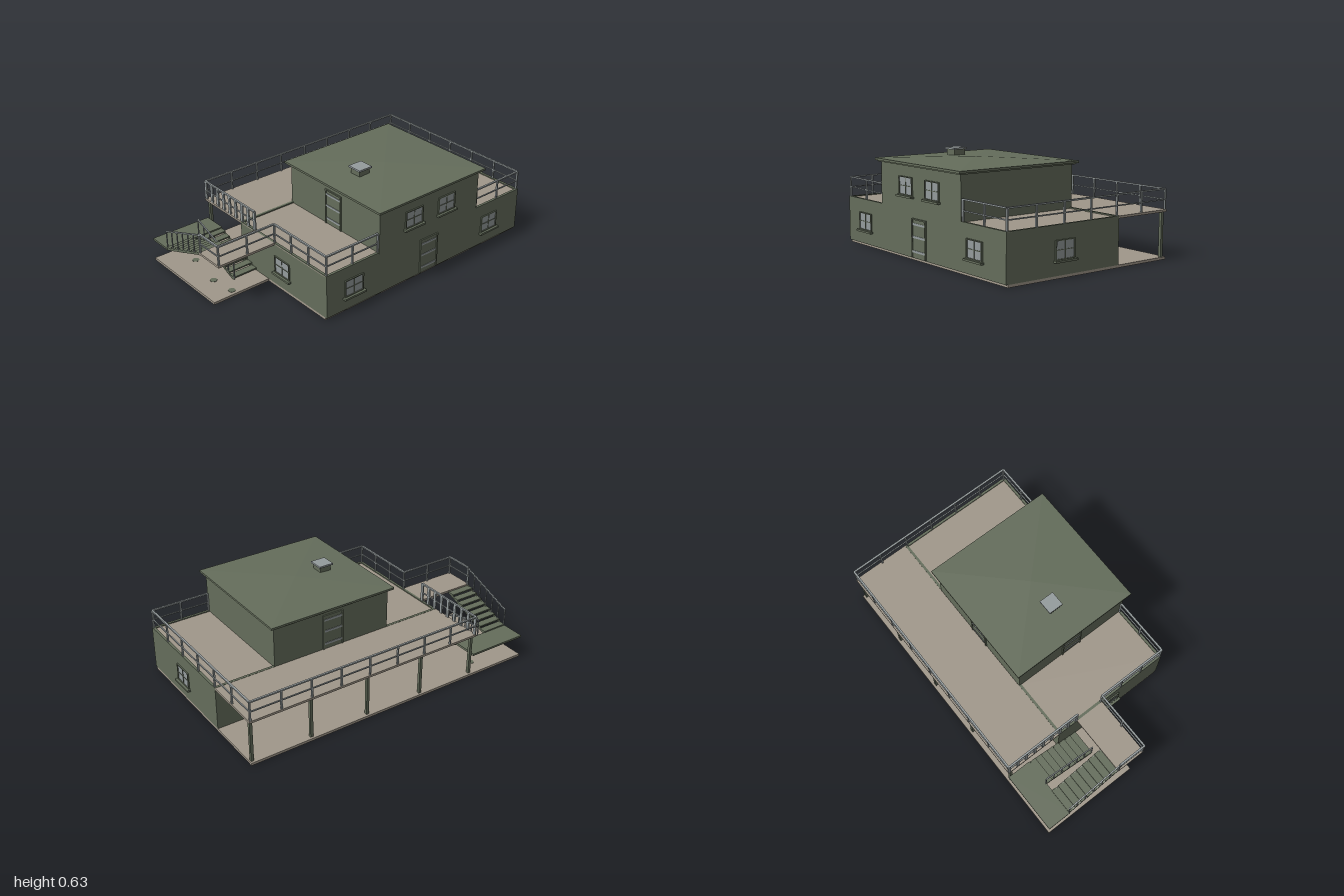
import * as THREE from 'three';

const mat = (name, color) => {
  const m = new THREE.MeshStandardMaterial({ color });
  m.name = name;
  return m;
};

export function createModel() {
  const green = mat('olive green', 0x646d5b);
  const tan = mat('warm concrete', 0xa0978a);
  const grey = mat('pale grey', 0x949b9c);
  const model = new THREE.Group();
  model.name = 'house';

  const group = (name, parent = model) => {
    const g = new THREE.Group();
    g.name = name;
    parent.add(g);
    return g;
  };
  // Box given by its extents on each axis
  const box = (name, m, [x0, x1], [y0, y1], [z0, z1], parent = model) => {
    const mesh = new THREE.Mesh(new THREE.BoxGeometry(x1 - x0, y1 - y0, z1 - z0), m);
    mesh.position.set((x0 + x1) / 2, (y0 + y1) / 2, (z0 + z1) / 2);
    mesh.name = name;
    parent.add(mesh);
    return mesh;
  };
  // Square bar between two points
  const bar = (name, m, a, b, w, h, parent) => {
    const p = new THREE.Vector3(...a), q = new THREE.Vector3(...b);
    const mesh = new THREE.Mesh(new THREE.BoxGeometry(w, h, p.distanceTo(q)), m);
    mesh.position.copy(p).add(q).multiplyScalar(0.5);
    mesh.lookAt(q);
    mesh.name = name;
    parent.add(mesh);
  };

  // Ground slab, with the strip under the stairs
  box('groundSlab', tan, [-0.61, 0.975], [0, 0.016], [-0.605, 0.57]);
  box('stairSlab', tan, [-1, -0.61], [0, 0.016], [-0.605, 0.04]);
  [[-0.68, -0.5], [-0.825, -0.42], [-0.87, -0.16], [-0.85, 0.0]].forEach(([x, z]) => {
    const disc = new THREE.Mesh(new THREE.CylinderGeometry(0.022, 0.022, 0.002, 12), green);
    disc.position.set(x, 0.017, z);
    disc.name = 'slabPatch';
    model.add(disc);
  });

  // Two storeys
  box('groundFloor', green, [-0.61, 0.975], [0.016, 0.285], [-0.224, 0.582]);
  box('upperFloor', green, [-0.22, 0.585], [0.285, 0.56], [-0.222, 0.583]);

  // Terrace floors, wall tops and rear deck
  const terrace = group('terrace');
  for (const [x0, x1] of [[-0.61, -0.22], [0.585, 0.975]]) {
    box('terraceFloor', tan, [x0, x1], [0.284, 0.289], [-0.21, 0.57], terrace);
    box('frontWallTop', green, [x0, x1], [0.284, 0.295], [0.566, 0.582], terrace);
    box('rearWallTop', green, [x0, x1], [0.284, 0.2965], [-0.224, -0.208], terrace);
  }
  box('leftWallTop', green, [0.959, 0.975], [0.284, 0.295], [-0.22, 0.58], terrace);
  box('rightWallTop', green, [-0.61, -0.594], [0.284, 0.295], [-0.22, 0.58], terrace);
  box('rearDeck', tan, [-0.61, 0.975], [0.281, 0.295], [-0.607, -0.224], terrace);
  for (let i = 0; i < 5; i++) {
    const x = -0.59 + i * 0.3875;
    box('deckPost', green, [x - 0.009, x + 0.009], [0.016, 0.282], [-0.591, -0.573], terrace);
  }

  // Roof: eave trim, flat edge and low pyramid
  const roof = group('roof');
  box('eaveTrim', green, [-0.237, 0.602], [0.55, 0.56], [-0.239, 0.6], roof);
  box('roofEdge', green, [-0.248, 0.613], [0.558, 0.571], [-0.25, 0.611], roof);
  const pyramid = new THREE.ConeGeometry(0.43 * Math.SQRT2, 0.018, 4, 1).rotateY(Math.PI / 4).toNonIndexed();
  pyramid.computeVertexNormals();
  const roofTop = new THREE.Mesh(pyramid, green);
  roofTop.position.set(0.1825, 0.58, 0.1805);
  roofTop.name = 'roofTop';
  roof.add(roofTop);
  box('chimney', green, [-0.052, 0.025], [0.57, 0.617], [0.142, 0.219], roof);
  box('chimneyCap', grey, [-0.062, 0.035], [0.616, 0.627], [0.132, 0.229], roof);

  // Wall fittings are built facing +z, then turned to their wall
  const place = (name, x, y, z, turn) => {
    const g = group(name);
    g.position.set(x, y, z);
    g.rotation.y = turn;
    return g;
  };
  const addWindow = (x, y, z, turn = 0) => {
    const g = place('window', x, y, z, turn);
    box('glass', grey, [-0.064, 0.064], [-0.05, 0.05], [-0.002, 0.003], g);
    for (const s of [-1, 1]) {
      box('sideFrame', green, [s * 0.066 - 0.004, s * 0.066 + 0.004], [-0.054, 0.054], [-0.002, 0.008], g);
      box('crossFrame', green, [-0.066, 0.066], [s * 0.052 - 0.003, s * 0.052 + 0.003], [-0.002, 0.008], g);
    }
    box('mullion', green, [-0.002, 0.002], [-0.05, 0.05], [0, 0.006], g);
    box('glazingBar', green, [-0.064, 0.064], [-0.002, 0.002], [0, 0.006], g);
    box('sill', green, [-0.08, 0.08], [-0.067, -0.055], [-0.002, 0.022], g);
  };
  const addDoor = (x, y, z, turn = 0) => {
    const g = place('door', x, y, z, turn);
    box('doorLeaf', green, [-0.064, 0.064], [0, 0.222], [-0.002, 0.003], g);
    for (const s of [-1, 1]) box('doorJamb', green, [s * 0.067 - 0.005, s * 0.067 + 0.005], [0, 0.23], [-0.002, 0.008], g);
    box('doorHead', green, [-0.072, 0.072], [0.222, 0.23], [-0.002, 0.008], g);
    for (const h of [0.03, 0.115, 0.19]) box('doorBar', grey, [-0.062, 0.062], [h, h + 0.013], [0, 0.006], g);
  };
  for (const x of [-0.41, 0.708]) addWindow(x, 0.157, 0.582);
  for (const x of [0.048, 0.314]) addWindow(x, 0.43, 0.583);
  addWindow(0.975, 0.157, 0.18, Math.PI / 2);
  addWindow(-0.61, 0.157, 0.18, -Math.PI / 2);
  addDoor(0.18, 0.02, 0.582);
  addDoor(0.18, 0.02, -0.224, Math.PI);
  addDoor(0.18, 0.293, -0.222, Math.PI);
  addDoor(-0.22, 0.289, 0.18, -Math.PI / 2);

  // Railings: top rail, middle rail and evenly spaced posts
  const addRailing = (name, [x0, z0], [x1, z1], bays) => {
    const g = group(name);
    bar('topRail', grey, [x0, 0.416, z0], [x1, 0.416, z1], 0.012, 0.009, g);
    bar('middleRail', grey, [x0, 0.353, z0], [x1, 0.353, z1], 0.007, 0.007, g);
    for (let i = 0; i <= bays; i++) {
      const x = x0 + (x1 - x0) * i / bays, z = z0 + (z1 - z0) * i / bays;
      box('railPost', grey, [x - 0.005, x + 0.005], [0.288, 0.416], [z - 0.005, z + 0.005], g);
    }
    return g;
  };
  addRailing('rearRailing', [-0.604, -0.601], [0.968, -0.601], 8);
  addRailing('leftRailing', [0.968, -0.601], [0.968, 0.57], 6);
  addRailing('frontLeftRailing', [0.59, 0.572], [0.968, 0.572], 2);
  addRailing('frontRightRailing', [-0.604, 0.572], [-0.224, 0.572], 2);
  addRailing('rightRailing', [-0.604, 0.572], [-0.604, 0.104], 3);
  addRailing('landingFrontRailing', [-0.993, 0.104], [-0.604, 0.104], 2);
  addRailing('landingSideRailing', [-0.993, -0.08], [-0.993, 0.104], 1);
  const stairwell = addRailing('stairwellRailing', [-0.604, -0.601], [-0.604, -0.085], 1);
  for (let i = 0; i <= 8; i++) {
    const z = -0.597 + i * 0.0635;
    box('picket', grey, [-0.609, -0.599], [0.288, 0.414], [z - 0.01, z + 0.01], stairwell);
  }

  // Staircase: two flights turning at a half landing
  const stairs = group('stairs');
  box('upperLanding', tan, [-1, -0.61], [0.281, 0.295], [-0.085, 0.11], stairs);
  box('halfLanding', green, [-1, -0.603], [0.142, 0.155], [-0.605, -0.447], stairs);
  const addFlight = (name, x0, x1, yNear, railX) => {
    const g = group(name, stairs);
    const zTurn = -0.45, zNear = -0.085, yTurn = 0.15, n = 8;
    for (let i = 0; i < n; i++) {
      const t = (i + 0.5) / n;
      const y = yTurn + (yNear - yTurn) * t, z = zTurn + (zNear - zTurn) * t;
      box('tread', green, [x0, x1], [y - 0.004, y + 0.005], [z - 0.024, z + 0.024], g);
    }
    for (const x of [x0 + 0.004, x1 - 0.004]) {
      bar('stringer', green, [x, yTurn - 0.004, zTurn], [x, yNear - 0.004, zNear], 0.008, 0.013, g);
    }
    bar('handrail', grey, [railX, yTurn + 0.12, zTurn], [railX, yNear + 0.12, zNear], 0.008, 0.008, g);
    for (let i = 0; i <= 6; i++) {
      const y = yTurn + (yNear - yTurn) * i / 6, z = zTurn + (zNear - zTurn) * i / 6;
      box('baluster', grey, [railX - 0.003, railX + 0.003], [y, y + 0.12], [z - 0.003, z + 0.003], g);
    }
  };
  addFlight('upperFlight', -0.997, -0.83, 0.288, -0.993);
  addFlight('lowerFlight', -0.775, -0.606, 0.02, -0.771);

  return model;
}
